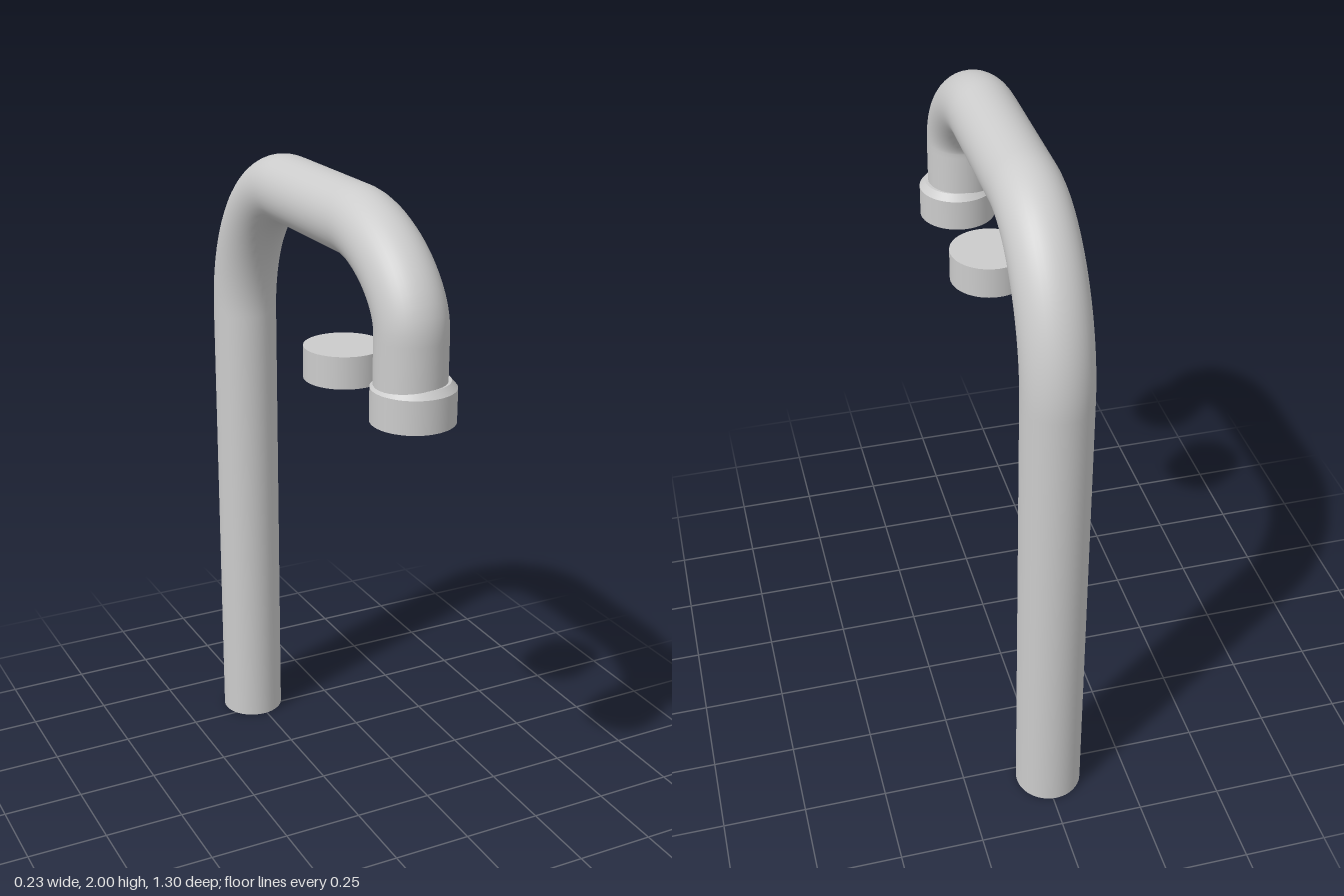
import * as THREE from 'three';

const v = (z, y) => new THREE.Vector3(-0.01, y, z);

// Rounded bend between two tangent points, around a corner; k sets its fullness
function bend(start, corner, end, k) {
  return new THREE.CubicBezierCurve3(
    start, start.clone().lerp(corner, k), end.clone().lerp(corner, k), end);
}

export function createModel() {
  const group = new THREE.Group();
  const material = new THREE.MeshStandardMaterial({ color: 0xcccccc });
  const openMaterial = new THREE.MeshStandardMaterial({ color: 0xcccccc, side: THREE.DoubleSide });
  const add = (name, geometry, mat, x = 0, y = 0, z = 0) => {
    const mesh = new THREE.Mesh(geometry, mat);
    mesh.name = name;
    mesh.position.set(x, y, z);
    group.add(mesh);
  };

  // Hooked pipe: tall rear post, two bends and a short drop at the front
  const path = new THREE.CurvePath();
  path.add(new THREE.LineCurve3(v(-0.55, 0), v(-0.55, 1.45)));
  path.add(bend(v(-0.55, 1.45), v(-0.55, 1.9), v(-0.2, 1.9), 0.54));
  path.add(new THREE.LineCurve3(v(-0.2, 1.9), v(0.22, 1.9)));
  path.add(bend(v(0.22, 1.9), v(0.537, 1.9), v(0.537, 1.67), 0.47));
  path.add(new THREE.LineCurve3(v(0.537, 1.67), v(0.537, 1.48)));
  add('pipe', new THREE.TubeGeometry(path, 140, 0.1, 40, false), openMaterial);

  // Collar on the pipe's front end: closed cylinder with a bevelled shoulder
  add('collar', new THREE.CylinderGeometry(0.117, 0.117, 0.095, 48), material, 0, 1.4725, 0.537);
  add('collarShoulder', new THREE.CylinderGeometry(0.1, 0.117, 0.02, 48), material, 0, 1.53, 0.537);

  // Loose round disc beside the collar
  add('disc', new THREE.CylinderGeometry(0.117, 0.117, 0.095, 48), material, 0, 1.4725, 0.132);

  return group;
}
